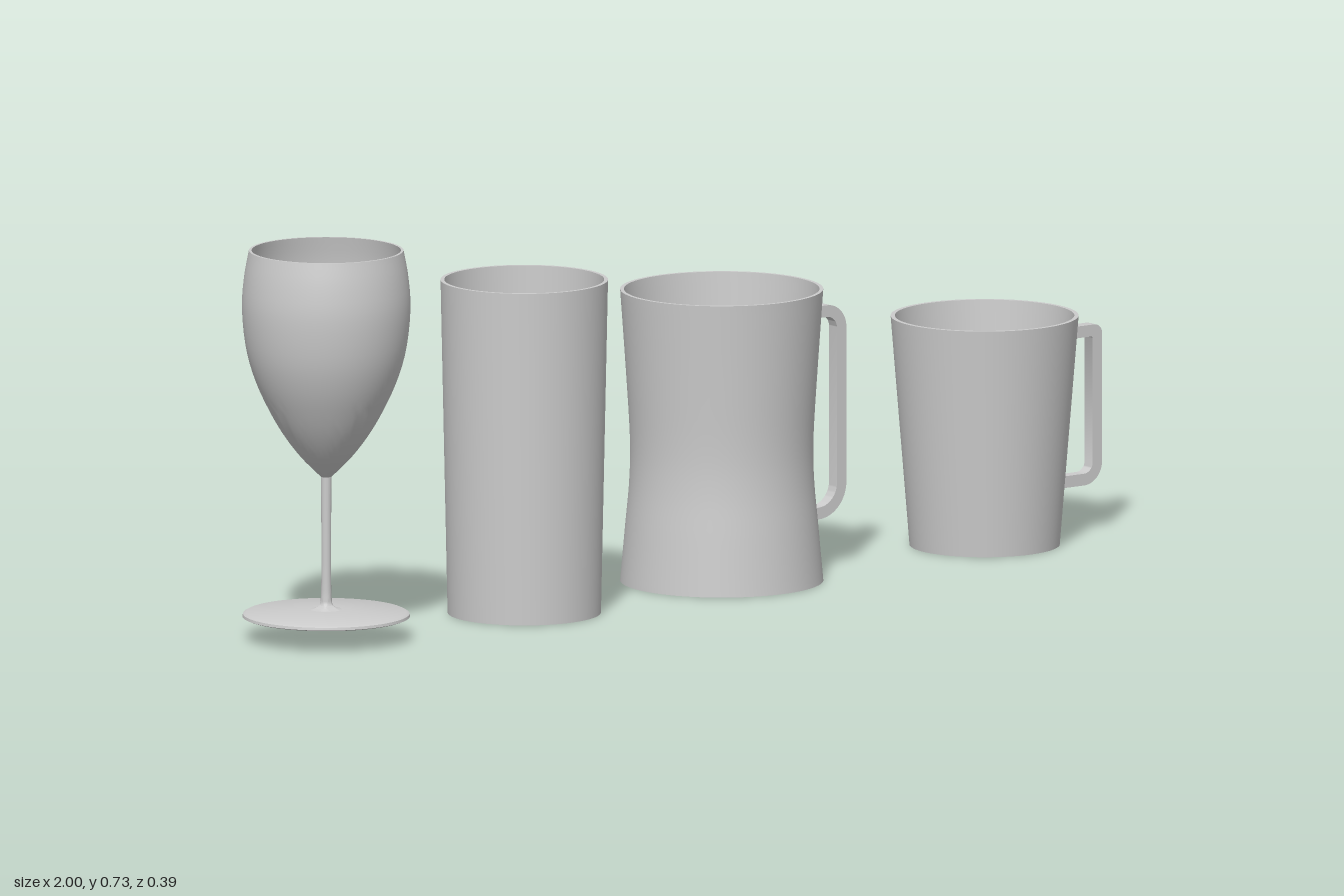
import * as THREE from 'three';
import { toCreasedNormals } from 'three/addons/utils/BufferGeometryUtils.js';

const material = new THREE.MeshStandardMaterial({ color: 0xcccccc });

// Turned part from [radius, height] points, outside upward then inside downward
function turned(name, points) {
  const geometry = new THREE.LatheGeometry(points.map(([r, y]) => new THREE.Vector2(r, y)), 72);
  const mesh = new THREE.Mesh(toCreasedNormals(geometry, 0.6), material);
  mesh.name = name;
  return mesh;
}

// Smooth curve through a few profile points
function smooth(points, count) {
  const curve = new THREE.SplineCurve(points.map(([r, y]) => new THREE.Vector2(r, y)));
  return curve.getPoints(count).map((p) => [p.x, p.y]);
}

// Inner wall: the outer profile moved inward and reversed
const inner = (points, wall) => points.map(([r, y]) => [Math.max(r - wall, 0.001), y]).reverse();

// Flat-sided C-shaped handle with separately rounded top and bottom corners
function handle({ topStart, bottomStart, reach, bottom, top, topRadius, bottomRadius }) {
  const bar = 0.022, width = 0.024;
  const shape = new THREE.Shape();
  shape.moveTo(bottomStart, bottom);
  shape.lineTo(reach - bottomRadius, bottom);
  shape.absarc(reach - bottomRadius, bottom + bottomRadius, bottomRadius, -Math.PI / 2, 0, false);
  shape.lineTo(reach, top - topRadius);
  shape.absarc(reach - topRadius, top - topRadius, topRadius, 0, Math.PI / 2, false);
  shape.lineTo(topStart, top);
  shape.lineTo(topStart, top - bar);
  const ti = Math.max(topRadius - bar, 0.004), bi = Math.max(bottomRadius - bar, 0.004);
  const x = reach - bar;
  shape.absarc(x - ti, top - bar - ti, ti, Math.PI / 2, 0, true);
  shape.absarc(x - bi, bottom + bar + bi, bi, 0, -Math.PI / 2, true);
  shape.lineTo(bottomStart, bottom + bar);
  shape.closePath();
  const geometry = new THREE.ExtrudeGeometry(shape, { depth: width, bevelEnabled: false, curveSegments: 10 });
  geometry.translate(0, 0, -width / 2);
  const mesh = new THREE.Mesh(toCreasedNormals(geometry, 0.6), material);
  mesh.name = 'handle';
  return mesh;
}

function vessel(name, x, z, parts) {
  const group = new THREE.Group();
  group.name = name;
  group.position.set(x, 0, z);
  group.add(...parts);
  return group;
}

// Straight tapered cup with a closed floor
function taperedCup(name, bottomRadius, topRadius, height, wall) {
  return turned(name, [
    [0, 0], [bottomRadius, 0], [topRadius, height],
    [topRadius - wall, height], [bottomRadius - wall, 0.01], [0, 0.01],
  ]);
}

export function createModel() {
  const model = new THREE.Group();
  model.name = 'drinkingVessels';

  // Stemmed glass
  const bowl = smooth([
    [0.01, 0.305], [0.045, 0.34], [0.076, 0.38], [0.103, 0.425], [0.13, 0.483],
    [0.148, 0.545], [0.156, 0.62], [0.152, 0.68], [0.143, 0.73],
  ], 28);
  model.add(vessel('wineGlass', -0.845, 0.04, [
    turned('bowl', [...bowl, ...inner(bowl, 0.005), [0, 0.307]]),
    turned('stem', smooth([[0.034, 0.055], [0.016, 0.061], [0.01, 0.08], [0.009, 0.18], [0.01, 0.307]], 24)),
    turned('foot', [[0, 0.041], [0.15, 0.041], [0.155, 0.043], [0.154, 0.048], [0.148, 0.051], [0.03, 0.056], [0, 0.056]]),
  ]));

  // Tall tumbler
  model.add(vessel('tumbler', -0.381, 0.038, [taperedCup('tumblerBody', 0.142, 0.155, 0.625, 0.007)]));

  // Waisted mug, open at both ends
  const waist = smooth([
    [0.188, 0], [0.179, 0.1], [0.171, 0.19], [0.17, 0.27], [0.177, 0.39], [0.188, 0.547],
  ], 24);
  model.add(vessel('waistedMug', 0.117, -0.01, [
    turned('mugBody', [...waist, ...inner(waist, 0.007), waist[0]]),
    handle({ topStart: 0.178, bottomStart: 0.174, reach: 0.282, bottom: 0.092, top: 0.492, topRadius: 0.045, bottomRadius: 0.065 }),
  ]));

  // Short tapered mug
  model.add(vessel('shortMug', 0.734, -0.014, [
    taperedCup('mugBody', 0.139, 0.174, 0.43, 0.008),
    handle({ topStart: 0.164, bottomStart: 0.142, reach: 0.265, bottom: 0.088, top: 0.388, topRadius: 0.018, bottomRadius: 0.042 }),
  ]));

  return model;
}
